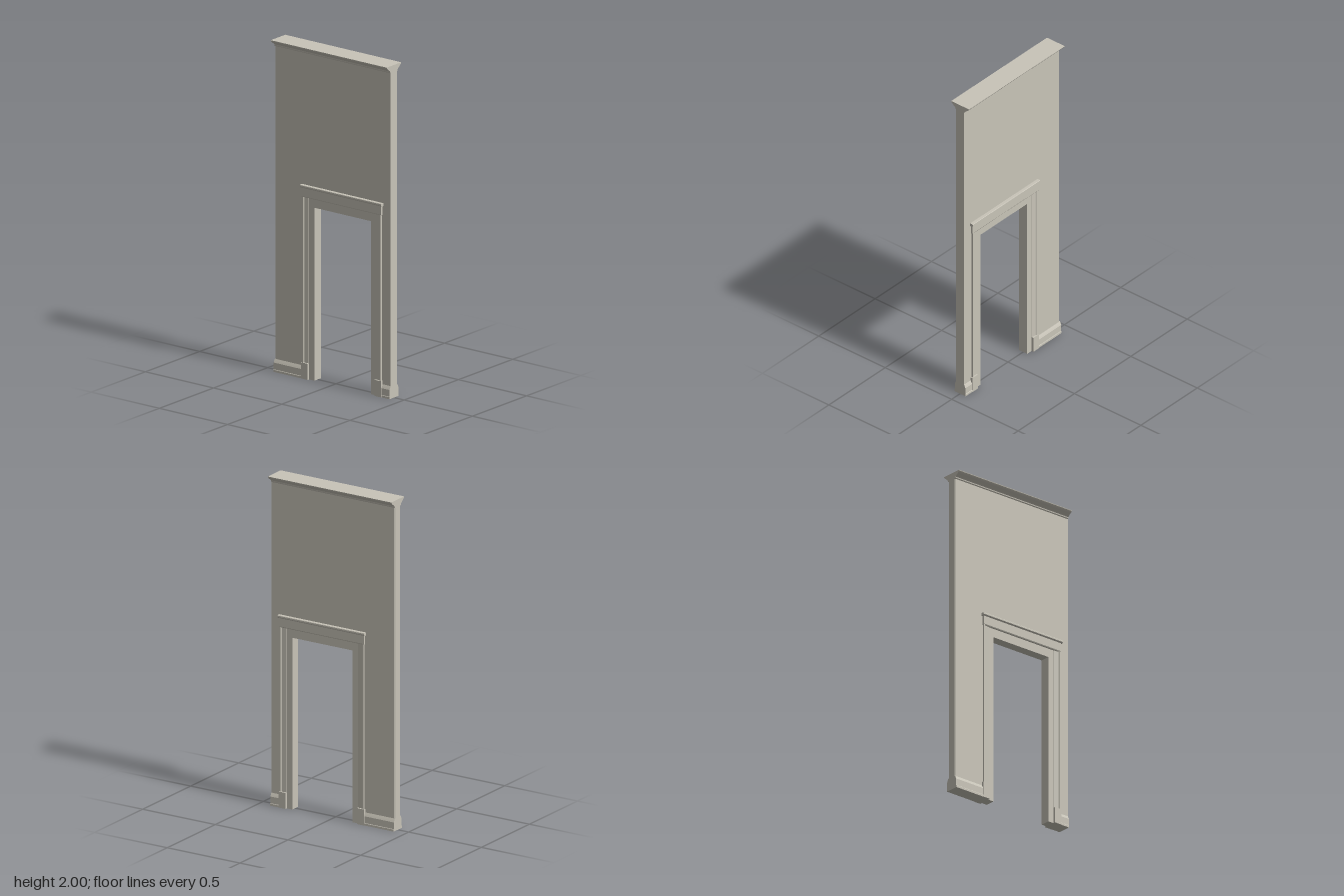
import * as THREE from 'three';

const HALF = 0.425;          // half the wall length
const WALL = 0.03;           // half the wall thickness
const DOOR = 0.0725;         // centre line of the doorway
const OPEN = 0.2075;         // half the opening width
const OPEN_TOP = 1.04;

export function createModel() {
  const group = new THREE.Group();
  const stone = new THREE.MeshStandardMaterial({ color: 0xc8c4b8 });
  stone.name = 'warm grey plaster';

  const add = (name, geometry) => {
    const mesh = new THREE.Mesh(geometry, stone);
    mesh.name = name;
    group.add(mesh);
  };
  const extrude = (points, depth) => new THREE.ExtrudeGeometry(
    new THREE.Shape(points.map(([a, b]) => new THREE.Vector2(a, b))),
    { depth, bevelEnabled: false });

  // Moulding running along x; profile is [y, half depth], same on both faces
  const alongX = (profile, x0, x1) => {
    const pts = [...profile.map(([y, d]) => [d, y]),
      ...profile.slice().reverse().map(([y, d]) => [-d, y])];
    return extrude(pts, x1 - x0).rotateY(Math.PI / 2).translate(x0, 0, 0);
  };
  // Moulding running up y; profile is [x, half depth], same on both faces
  const alongY = (profile, y0, y1) => {
    const pts = [...profile, ...profile.slice().reverse().map(([x, d]) => [x, -d])];
    return extrude(pts, y1 - y0).rotateX(-Math.PI / 2).translate(0, y0, 0);
  };

  // Wall with the doorway cut out, and its chamfered end
  const wall = extrude([
    [-HALF + 0.006, 0], [DOOR - OPEN, 0], [DOOR - OPEN, OPEN_TOP], [DOOR + OPEN, OPEN_TOP],
    [DOOR + OPEN, 0], [HALF, 0], [HALF, 2], [-HALF + 0.006, 2],
  ], WALL * 2);
  add('wall', wall.translate(0, 0, -WALL));
  add('chamferedEnd', alongY([[-HALF, 0.025], [-HALF + 0.006, WALL]], 0, 2));

  // Cornice flaring out to the flat top
  add('cornice', alongX([
    [1.957, WALL], [1.962, 0.034], [1.968, 0.035], [1.973, 0.040], [1.980, 0.049],
    [1.986, 0.057], [1.991, 0.062], [1.996, 0.066], [2, 0.067],
  ], -HALF, HALF));

  // Baseboards either side of the doorway
  const base = [[0, 0.042], [0.012, 0.042], [0.015, 0.040], [0.055, 0.040],
    [0.064, 0.036], [0.076, WALL]];
  add('baseboardWide', alongX(base, -HALF, DOOR - 0.287));
  add('baseboardNarrow', alongX(base, DOOR + 0.287, HALF));

  // Moulded casings on their plinth blocks
  for (const [side, s] of [['Left', 1], ['Right', -1]]) {
    const casing = [[0.288, WALL], [0.288, 0.042], [0.282, 0.042], [0.279, 0.038],
      [0.275, 0.035], [0.247, 0.033], [0.245, WALL]];
    const plinth = [[0.294, 0.044], [0.245, 0.044]];
    const place = (p) => p.map(([u, d]) => [DOOR + s * u, d]);
    add('casing' + side, alongY(place(casing), 0.095, 1.10));
    add('plinthBlock' + side, alongY(place(plinth), 0, 0.097));
  }

  // Head board and projecting cap over the doorway
  add('headBoard', alongX([[1.093, 0.040], [1.098, 0.043], [1.152, 0.043]],
    DOOR - 0.292, DOOR + 0.292));
  add('headCap', alongX([[1.148, 0.043], [1.155, 0.050], [1.163, 0.050], [1.166, 0.048]],
    DOOR - 0.299, DOOR + 0.299));

  return group;
}
